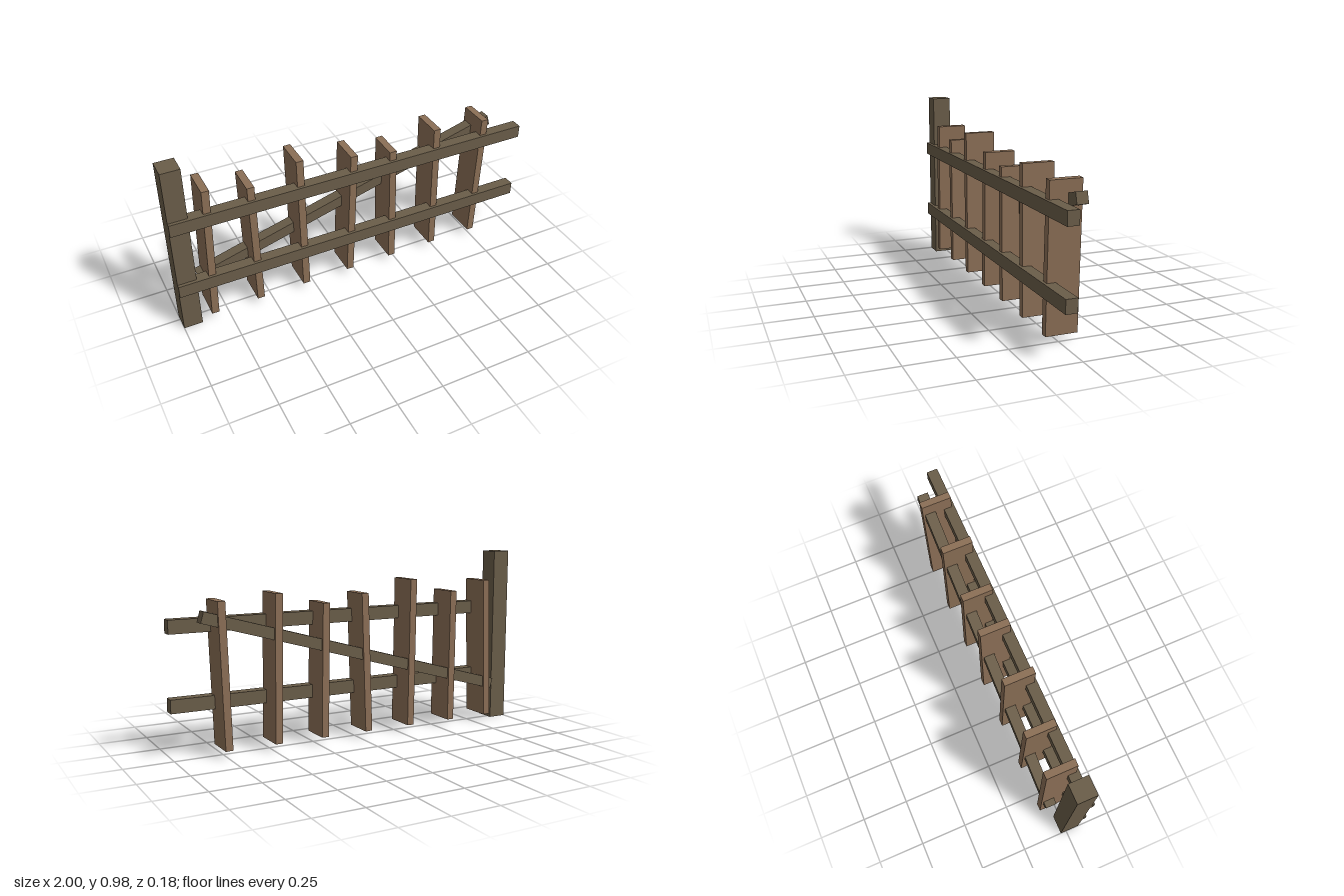
import * as THREE from 'three';

const darkWood = new THREE.MeshStandardMaterial({ color: 0x6a5d49 });
const lightWood = new THREE.MeshStandardMaterial({ color: 0x8b6f56 });

// Straight timber running between two points in the xy plane
function beam(name, material, [x0, y0], [x1, y1], thickness, zBack, zFront) {
  const dx = x1 - x0, dy = y1 - y0;
  const geometry = new THREE.BoxGeometry(Math.hypot(dx, dy), thickness, zFront - zBack);
  const mesh = new THREE.Mesh(geometry, material);
  mesh.name = name;
  mesh.position.set((x0 + x1) / 2, (y0 + y1) / 2, (zBack + zFront) / 2);
  mesh.rotation.z = Math.atan2(dy, dx);
  return mesh;
}

export function createModel() {
  const fence = new THREE.Group();
  fence.name = 'fence';

  // End post
  fence.add(beam('post', darkWood, [-0.95, 0], [-0.95, 0.975], 0.1, -0.032, 0.072));

  // Horizontal rails across the front
  fence.add(beam('lowerRail', darkWood, [-1, 0.265], [1, 0.265], 0.07, 0.03, 0.09));
  fence.add(beam('upperRail', darkWood, [-1, 0.655], [1, 0.655], 0.07, 0.03, 0.09));

  // Diagonal brace at the back
  fence.add(beam('brace', darkWood, [-0.865, 0.216], [0.865, 0.706], 0.059, -0.078, -0.019));

  // Uneven, slightly leaning pickets: bottom x, top x, top y
  const pickets = [
    [-0.826, -0.802, 0.817],
    [-0.57, -0.578, 0.766],
    [-0.304, -0.316, 0.841],
    [-0.04, -0.016, 0.78],
    [0.221, 0.21, 0.742],
    [0.483, 0.472, 0.803],
    [0.748, 0.772, 0.78],
  ];
  pickets.forEach(([xBottom, xTop, yTop], i) => {
    fence.add(beam(`picket${i + 1}`, lightWood, [xBottom, 0.04], [xTop, yTop], 0.039, -0.09, 0.075));
  });

  return fence;
}
